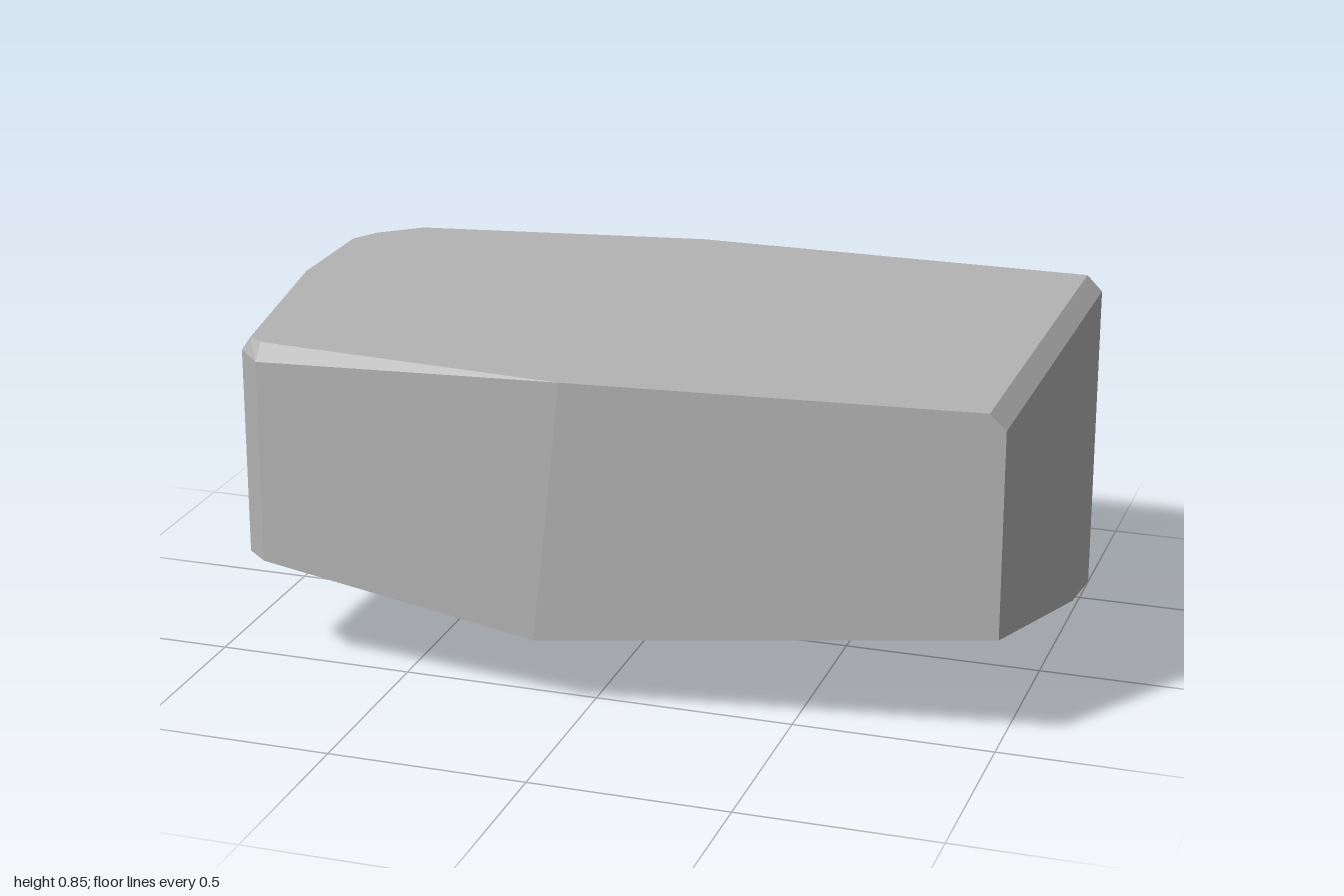
import * as THREE from 'three';
import { ConvexGeometry } from 'three/addons/geometries/ConvexGeometry.js';

export function createModel() {
  const group = new THREE.Group();
  group.name = 'chamferedBlock';
  const stoneGrey = new THREE.MeshStandardMaterial({ color: 0xb4b4b4 });
  stoneGrey.name = 'stoneGrey';

  // Corners of each region of the convex block
  const rightEnd = [
    [1, 0.29, 0.505], [1, 0.03, -0.4], [1, 0, -0.615],
    [1, 0.81, 0.505], [1, 0.81, -0.615],
    [0.96, 0.85, 0.509], [0.96, 0.85, -0.615],
  ];
  const middle = [
    [-0.12, 0.185, 0.615], [-0.05, 0.85, 0.611],
    [-0.12, 0, -0.22], [-0.12, 0, -0.615], [-0.08, 0.85, -0.615],
  ];
  const frontLeftCorner = [
    [-0.84, 0.29, 0.585], [-0.84, 0.81, 0.585], [-0.84, 0.85, 0.55],
    [-0.91, 0.28, 0.51], [-0.91, 0.81, 0.51], [-0.88, 0.85, 0.52],
    [-0.88, 0.26, 0.5],
  ];
  const backLeftCorner = [
    [-0.83, 0.28, -0.52], [-0.83, 0.81, -0.52], [-0.83, 0.85, -0.485],
    [-0.89, 0.26, -0.48], [-1, 0.62, -0.36],
    [-0.97, 0.85, -0.33], [-0.97, 0.85, -0.02], [-0.93, 0.85, -0.4],
  ];

  const points = [rightEnd, middle, frontLeftCorner, backLeftCorner]
    .flat()
    .map((p) => new THREE.Vector3(...p));
  const body = new THREE.Mesh(new ConvexGeometry(points), stoneGrey);
  body.name = 'block';
  group.add(body);
  return group;
}
